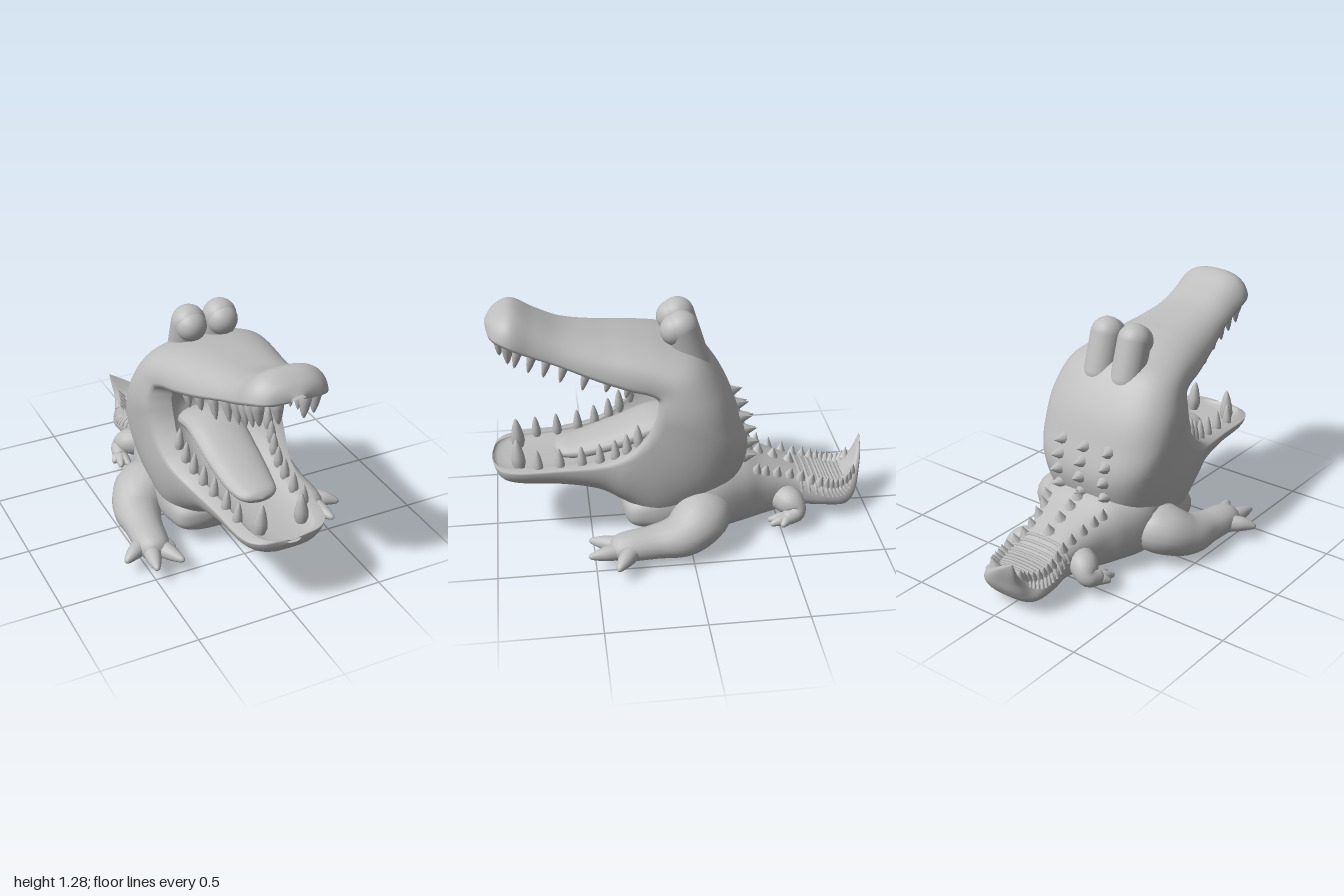
import * as THREE from 'three';

const hide = new THREE.MeshStandardMaterial({ color: 0xbdbdbd, side: THREE.DoubleSide });
hide.name = 'grey hide';

// Smooth interpolation of a table of cross-sections at index u
function sample(table, u) {
  const n = table.length - 1;
  const i = Math.min(Math.floor(u), n - 1), f = u - i;
  const row = k => table[Math.max(0, Math.min(n, k))];
  const a = row(i - 1), b = row(i), c = row(i + 1), d = row(i + 2);
  return b.map((p, k) => p + 0.5 * f * (c[k] - a[k] + f * (2 * a[k] - 5 * p + 4 * c[k] - d[k]
    + f * (3 * (p - c[k]) + d[k] - a[k]))));
}

// Closed rings skinned into one surface, wound outwards
function loft(fn, nu, nv) {
  const pos = [], index = [];
  for (let i = 0; i <= nu; i++) for (let j = 0; j < nv; j++) pos.push(...fn(i / nu, j / nv));
  for (let i = 0; i < nu; i++) for (let j = 0; j < nv; j++) {
    const k = (j + 1) % nv, a = i * nv + j, b = i * nv + k, c = a + nv, d = b + nv;
    index.push(a, b, c, b, d, c);
  }
  const P = k => new THREE.Vector3().fromArray(pos, 3 * k);
  let volume = 0;
  for (let t = 0; t < index.length; t += 3)
    volume += P(index[t]).dot(P(index[t + 1]).cross(P(index[t + 2])));
  if (volume < 0) index.reverse();
  const g = new THREE.BufferGeometry();
  g.setAttribute('position', new THREE.Float32BufferAttribute(pos, 3));
  g.setIndex(index);
  g.computeVertexNormals();
  return g;
}

// Round-ended limb through points [x, y, z, radius]
function limb(points, flat = 1) {
  return loft((u, v) => {
    const t = u * (points.length - 1);
    const p = sample(points, t);
    const q0 = sample(points, Math.max(0, t - 0.05)), q1 = sample(points, Math.min(points.length - 1, t + 0.05));
    const dir = new THREE.Vector3(q1[0] - q0[0], q1[1] - q0[1], q1[2] - q0[2]).normalize();
    const side = new THREE.Vector3(0, 1, 0).cross(dir).normalize();
    const up = dir.clone().cross(side);
    const k = Math.min(1, Math.min(u, 1 - u) / 0.14);
    const r = p[3] * Math.sqrt(Math.max(0.0004, 1 - (1 - k) ** 2)), a = v * Math.PI * 2;
    return new THREE.Vector3(p[0], p[1], p[2])
      .addScaledVector(side, r * Math.cos(a)).addScaledVector(up, r * flat * Math.sin(a)).toArray();
  }, 28, 18);
}

// Head sections from lower jaw tip round to snout: outer middle z,y; lip z,y; half width
const HEAD = [
  [1.0, .42, .995, .44, .04],
  [.96, .36, .97, .445, .16],
  [.87, .335, .88, .45, .225],
  [.65, .315, .65, .46, .245],
  [.46, .275, .44, .49, .28],
  [.32, .19, .31, .56, .32],
  [.1, .06, .23, .65, .335],
  [-.2, .2, .2, .71, .335],
  [-.33, .46, .185, .75, .335],
  [-.28, .68, .17, .79, .335],
  [-.2, .86, .16, .83, .33],
  [-.07, 1.02, .16, .87, .32],
  [.1, 1.08, .2, .895, .31],
  [.26, 1.11, .3, .92, .295],
  [.42, 1.13, .46, .97, .26],
  [.6, 1.165, .64, 1.04, .22],
  [.73, 1.225, .77, 1.09, .21],
  [.85, 1.29, .88, 1.14, .21],
  [.94, 1.26, .955, 1.165, .15],
  [.985, 1.21, .98, 1.18, .04]
];
// First half of the ring is the skin, second half the mouth lining; cheeks and throat deepen at the hinge
function headPoint(index, v) {
  const [oz, oy, rz, ry, w] = sample(HEAD, index);
  const outer = v < 0.5, a = (outer ? v : 1 - v) * 2 * Math.PI;
  const hinge = Math.exp(-(((index - 9) / 3) ** 2));
  const c = Math.cos(a), s = Math.sin(a), depth = s * (outer ? 1 : 0.35 + 0.25 * hinge);
  const power = outer ? 0.6 + 0.2 * (index / 19) ** 4 : 0.85;
  const x = Math.sign(c) * Math.abs(c) ** power * w * (outer ? 1 : 0.75)
    + (outer ? 0.09 * hinge * Math.sin(2 * a) : 0);
  return [x, ry + (oy - ry) * depth, rz + (oz - rz) * depth];
}

// Body sections: bottom z,y; top z,y; half width; x offset
const BODY = [
  [.35, .17, .35, .22, .08, 0],
  [.31, .08, .31, .25, .25, 0],
  [.2, .04, .2, .32, .3, 0],
  [0, .01, 0, .44, .32, 0],
  [-.15, .01, -.15, .45, .33, 0],
  [-.3, .02, -.3, .41, .275, 0],
  [-.42, .03, -.42, .35, .215, 0],
  [-.6, .055, -.59, .28, .165, 0],
  [-.75, .06, -.72, .225, .185, 0],
  [-.88, .06, -.79, .2, .18, 0],
  [-.935, .12, -.86, .2, .145, 0],
  [-.965, .2, -.92, .235, .095, -.03],
  [-.99, .28, -.965, .29, .05, -.08],
  [-1, .34, -.995, .34, .004, -.13]
];
function bodyPoint(index, v) {
  const [bz, by, tz, ty, w, xo] = sample(BODY, index), a = v * Math.PI * 2;
  const c = Math.cos(a), s = Math.sin(a);
  const h = 0.5 + 0.5 * Math.sign(s) * Math.abs(s) ** 0.8;
  return [xo + w * Math.sign(c) * Math.abs(c) ** 0.65, by + (ty - by) * h, bz + (tz - bz) * h];
}

export function createModel() {
  const model = new THREE.Group();
  const add = (name, geometry, parent = model) => {
    const mesh = new THREE.Mesh(geometry, hide);
    mesh.name = name;
    parent.add(mesh);
    return mesh;
  };
  const group = name => {
    const g = new THREE.Group();
    g.name = name;
    model.add(g);
    return g;
  };

  add('headAndJaws', loft((u, v) => headPoint(u * (HEAD.length - 1), v), 114, 64));
  add('bodyAndTail', loft((u, v) => bodyPoint(u * (BODY.length - 1), v), 78, 40));
  add('tongue', limb([[0, .55, -.08, .14], [0, .6, .12, .15], [0, .53, .34, .145], [0, .475, .54, .125], [0, .465, .68, .09]], 0.4));

  // Pointed shapes shared by teeth and back spikes
  const fang = new THREE.LatheGeometry(
    [[.7, -.15], [1, .1], [.92, .35], [.62, .68], [.3, .9], [0.001, 1]].map(p => new THREE.Vector2(...p)), 12);
  const spike = new THREE.ConeGeometry(1, 1, 8).translate(0, 0.4, 0);
  const point = (name, geometry, parent, base, dir, radius, length) => {
    const m = add(name, geometry, parent);
    m.position.set(...base);
    m.quaternion.setFromUnitVectors(new THREE.Vector3(0, 1, 0), new THREE.Vector3(...dir).normalize());
    m.scale.set(radius, length, radius);
  };

  // Teeth follow the lips, the first ones being the largest
  const lower = group('lowerTeeth'), upper = group('upperTeeth');
  for (const side of [1, -1]) {
    [2.05, 2.5, 2.95, 3.45, 3.9, 4.4, 4.9, 5.5].forEach((u, i) => {
      const [, , z, y, w] = sample(HEAD, u), big = i === 0;
      point('lowerTooth', fang, lower, [side * w * (big ? .5 : .77), y - .02, z - .01],
        [-side * .05, 1, .05], big ? .036 : .025, big ? .155 : .12);
    });
    for (let i = 0; i < 9; i++) {
      const [, , z, y, w] = sample(HEAD, 18 - i * .6);
      point('upperTooth', fang, upper, [side * w * (i ? .78 : .5), y + .01, z - .04],
        [-side * .08, -1, i < 2 ? .05 : .25], i < 2 ? .032 : .026, i < 7 ? .135 : .1);
    }
  }

  // Spikes on the back of the head and along the tail
  const spikes = group('backSpikes');
  for (const v of [.222, .25, .278]) for (const u of [7.8, 8.15, 8.5, 8.85]) {
    const p = headPoint(u, v);
    point('neckSpike', spike, spikes, p, [p[0], .15, -1], .035, .07);
  }
  for (let u = 5.6; u < 11; u += 0.4) for (const v of [.14, .36])
    point('tailSpike', spike, spikes, bodyPoint(u, v), [v < .25 ? .25 : -.25, 1, -.2], .03, .06);
  for (let u = 5.4; u < 7.4; u += 0.5)
    point('backSpike', spike, spikes, bodyPoint(u, .25), [0, 1, -.2], .035, .055);

  // Raised bands across the tail
  const bands = group('tailBands');
  for (let u = 7.2; u < 10; u += 0.28) {
    const path = new THREE.CatmullRomCurve3([.02, .1, .18, .32, .4, .48]
      .map(v => new THREE.Vector3(...bodyPoint(u, v))));
    add('tailBand', new THREE.TubeGeometry(path, 20, .009, 6), bands);
  }

  for (const side of [1, -1]) {
    const name = side > 0 ? 'left' : 'right';
    const mirror = pts => pts.map(([x, ...rest]) => [x * side, ...rest]);

    // Eye bulb with a lid reaching back into the head
    const lid = add(name + 'Eyelid', new THREE.CapsuleGeometry(.087, .2, 10, 24));
    lid.position.set(side * .086, 1.055, -.015);
    lid.rotation.x = .3;
    add(name + 'Eyeball', new THREE.SphereGeometry(.08, 24, 16)).position.set(side * .086, 1.14, .044);

    // Nostril ring
    const nostril = add(name + 'Nostril', new THREE.TorusGeometry(.022, .009, 8, 16));
    nostril.position.set(side * .1, 1.255, .88);
    nostril.rotation.set(-.9, side * .3, 0);

    // Front leg and clawed hand
    const front = group(name + 'FrontLeg');
    add('arm', limb(mirror([[.22, .2, -.07, .15], [.33, .18, -.05, .155], [.405, .13, .05, .13],
      [.43, .115, .19, .1], [.445, .11, .32, .09], [.45, .1, .43, .075]]), .85), front);
    for (const [x, y, z] of [[.62, .085, .4], [.505, .1, .54], [.355, .1, .53], [.345, .09, .4]])
      add('finger', limb(mirror([[.45, .1, .29, .05], [.45 + (x - .45) * .6, .1, .29 + (z - .29) * .6, .04], [x, y, z, .012]])), front);

    // Small hind leg
    const hind = group(name + 'HindLeg');
    add('thigh', limb(mirror([[.12, .15, -.49, .07], [.2, .15, -.55, .075], [.25, .11, -.575, .05], [.275, .09, -.5, .04]])), hind);
    for (const [x, z] of [[.325, -.49], [.3, -.43], [.25, -.425]])
      add('toe', limb(mirror([[.265, .09, -.53, .035], [(x + .265) / 2, .085, (z - .53) / 2, .028], [x, .075, z, .01]])), hind);
  }
  return model;
}
